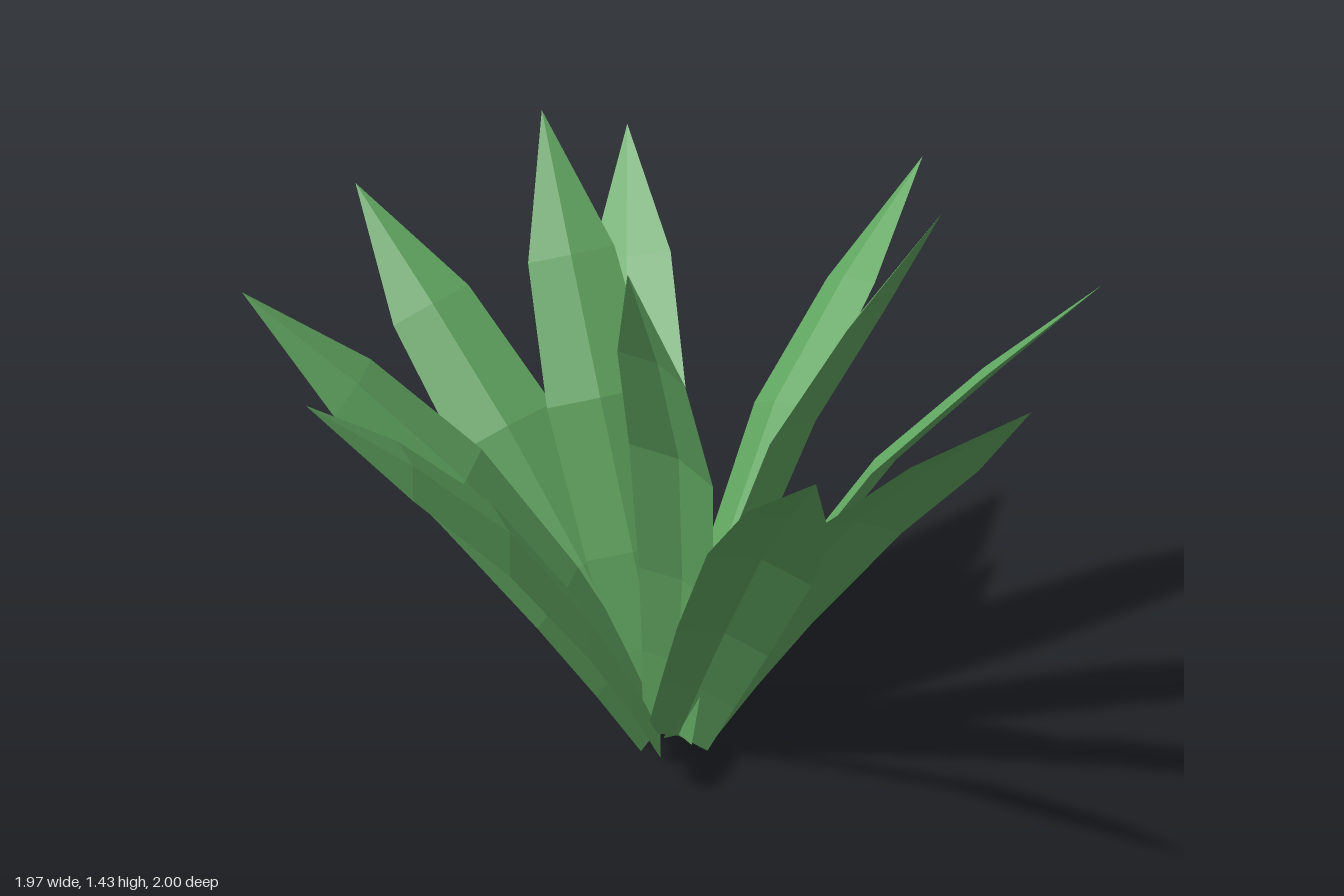
import * as THREE from 'three';

// Leaf stations: [distance along leaf, bow, half width]
const STATIONS = [
  [0.05, -0.02, 0.075],
  [0.23, 0.02, 0.092],
  [0.46, 0.058, 0.112],
  [0.83, 0.083, 0.128],
  [1.17, 0.048, 0.103],
  [1.512, 0.0, 0.0],
];
const RIDGE = 0.22; // ridge height per half width
const ROLL = THREE.MathUtils.degToRad(27); // every leaf leans round its own axis

// Lower and inner leaf tips: [x, z, height]
const TIPS = [
  [0.23, -1.0, 1.12], [0.82, -0.6, 1.12], [0.98, 0.2, 1.12], [0.6, 0.79, 1.12],
  [0.0, 0.99, 1.12], [-0.98, 0.2, 1.12], [-0.92, -0.435, 1.12], [-0.475, -0.91, 1.12],
  [-0.1, -0.66, 1.36], [-0.255, 0.39, 1.44], [0.59, 0.2, 1.375],
];
const CENTRE_Z = -0.01;

// Thin bowed leaf lying along +z, with a shallow fold raised on the upper side
function leafGeometry() {
  const positions = [];
  const rows = STATIONS.map(([along, bow, w]) => [
    [-w, bow, along],
    [0, bow + RIDGE * w, along],
    [w, bow, along],
  ]);
  for (let i = 0; i < rows.length - 1; i++) {
    for (let j = 0; j < 2; j++) {
      const a = rows[i][j], b = rows[i][j + 1];
      const c = rows[i + 1][j + 1], d = rows[i + 1][j];
      positions.push(...a, ...c, ...b);
      // The tip is a single point, so it needs one triangle per side
      if (i < rows.length - 2) positions.push(...a, ...d, ...c);
    }
  }
  const geometry = new THREE.BufferGeometry();
  geometry.setAttribute('position', new THREE.Float32BufferAttribute(positions, 3));
  geometry.computeVertexNormals();
  return geometry;
}

export function createModel() {
  const plant = new THREE.Group();
  plant.name = 'spikyPlant';
  const leafGreen = new THREE.MeshStandardMaterial({
    color: 0x60a560, flatShading: true, side: THREE.DoubleSide,
  });
  leafGreen.name = 'leafGreen';
  const geometry = leafGeometry();

  // Each leaf is rolled, raised and turned so that its tip reaches its place
  TIPS.forEach(([x, z, height], i) => {
    const dz = z - CENTRE_Z;
    const leaf = new THREE.Mesh(geometry, leafGreen);
    leaf.name = (height > 1.2 ? 'innerLeaf' : 'outerLeaf') + (i + 1);
    leaf.rotation.set(-Math.atan2(height, Math.hypot(x, dz)), Math.atan2(x, dz), -ROLL, 'YXZ');
    leaf.position.z = CENTRE_Z;
    plant.add(leaf);
  });
  return plant;
}
